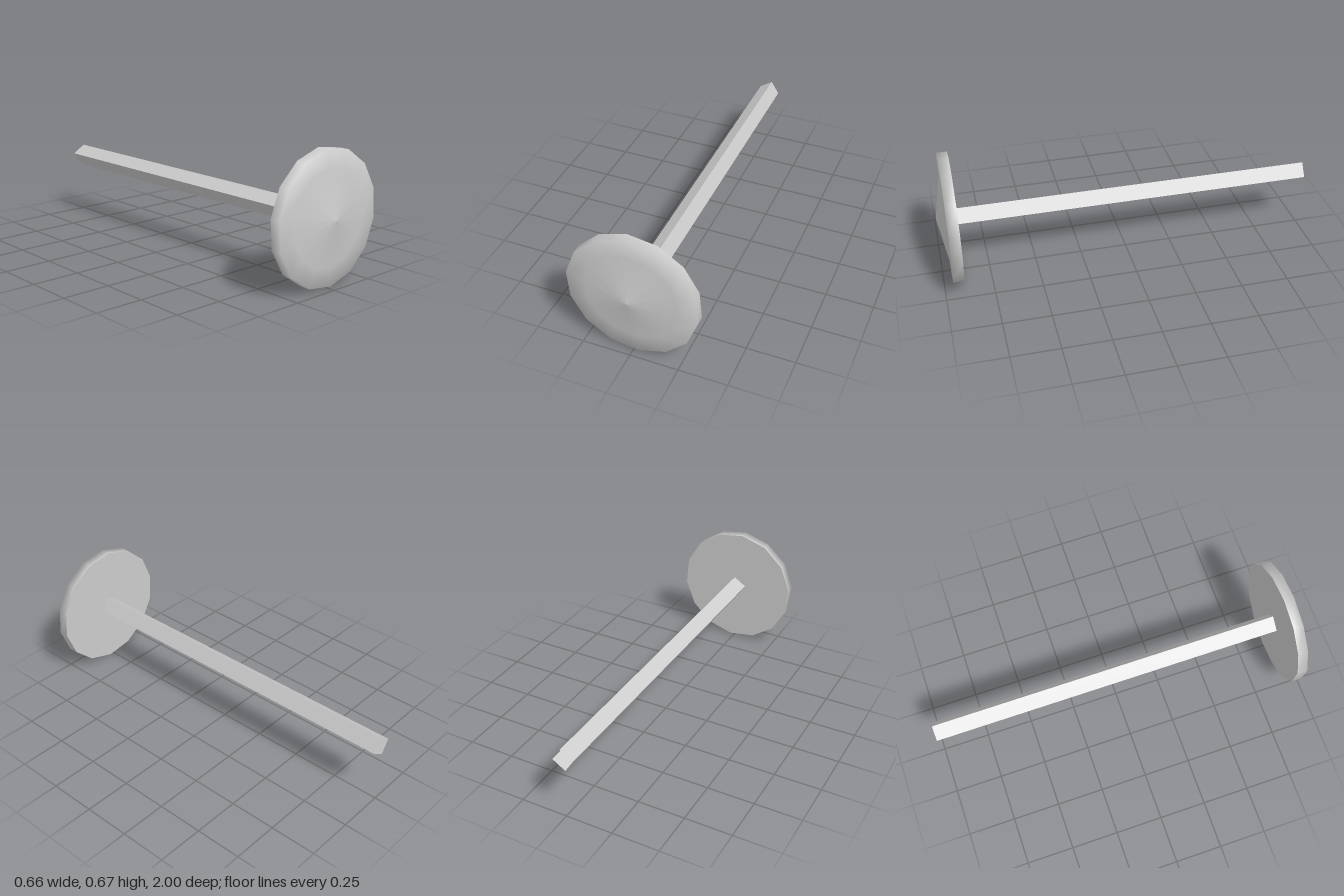
import * as THREE from 'three';

const SIDES = 14, RADIUS = 0.336, TURN = 0.075;

export function createModel() {
  const metal = new THREE.MeshStandardMaterial({ color: 0xcccccc });
  metal.name = 'grey metal';
  metal.side = THREE.DoubleSide;
  const shaftMetal = metal.clone();
  shaftMetal.flatShading = true;

  const nail = new THREE.Group();
  nail.name = 'nail';
  const add = (name, geometry, material, z) => {
    const mesh = new THREE.Mesh(geometry, material);
    mesh.name = name;
    mesh.position.set(0, RADIUS, z);
    nail.add(mesh);
  };

  // Head: straight rim, flat shoulder and a shallow cone, smooth all over
  const profile = [[RADIUS, 0.9], [RADIUS, 0.955], [0.24, 0.955], [0, 1]]
    .map(([r, z]) => new THREE.Vector2(r, z));
  add('head', new THREE.LatheGeometry(profile, SIDES, TURN).rotateX(Math.PI / 2), metal, 0);

  // Flat underside of the head
  const back = new THREE.CircleGeometry(RADIUS, SIDES, 1.5 * Math.PI - TURN).rotateY(Math.PI);
  add('headBack', back, metal, 0.9);

  // Shaft: slightly twisted square tube, open at the ends
  const shaft = new THREE.CylinderGeometry(0.058, 0.058, 1.9, 4, 1, true, -0.21).rotateX(Math.PI / 2);
  add('shaft', shaft, shaftMetal, -0.05);

  return nail;
}
